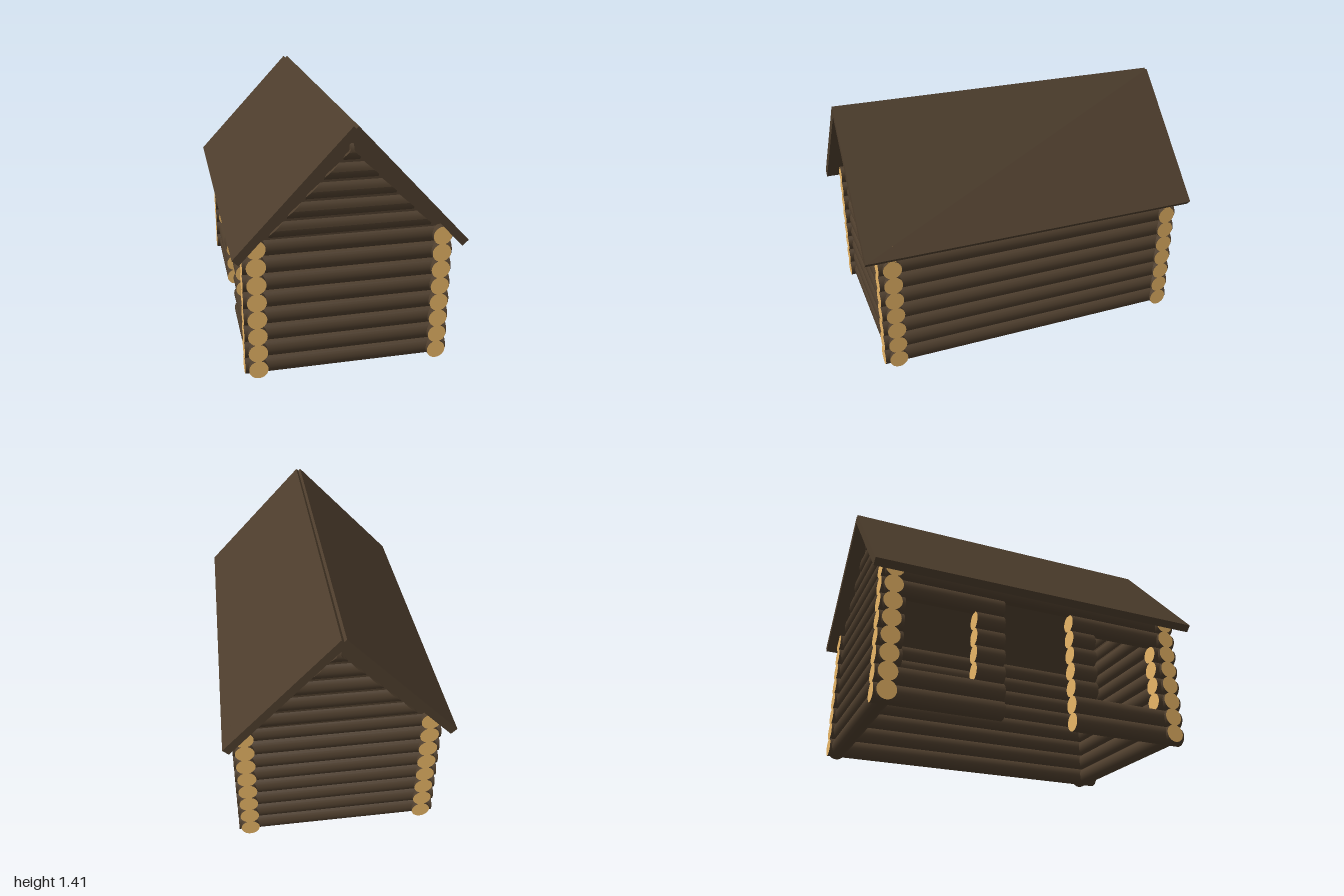
import * as THREE from 'three';

const R = 0.053;          // log radius
const ROWS = 8;           // full log courses
const LEFT = 0.515, RIGHT = -0.5, FRONT = 0.85, BACK = -0.875; // wall centre lines

const bark = new THREE.MeshStandardMaterial({ color: 0x4d3d2c });
const cut = new THREE.MeshStandardMaterial({ color: 0xe8b566 });
const rowY = (i) => 0.06 + i * 0.1005;

// Log running from a to b along the x or z axis, with pale sawn ends
function log(name, axis, a, b, fixed, y) {
  const geo = new THREE.CylinderGeometry(R, R, b - a, 24);
  const mesh = new THREE.Mesh(geo, [bark, cut, cut]);
  const mid = (a + b) / 2;
  if (axis === 'x') {
    geo.rotateZ(-Math.PI / 2);
    mesh.position.set(mid, y, fixed);
  } else {
    geo.rotateX(Math.PI / 2);
    mesh.position.set(fixed, y, mid);
  }
  mesh.name = name;
  return mesh;
}

// Gable log whose upper ends are sawn back along the roof slope
function gableLog(a, b, z, y) {
  const mesh = log('gableLog', 'x', a, b, z, y);
  const p = mesh.geometry.attributes.position;
  for (let i = 0; i < p.count; i++) {
    const back = Math.min(Math.max(0, p.getY(i) + 0.025) * 1.15, (b - a) / 2 - 0.01);
    p.setX(i, p.getX(i) - Math.sign(p.getX(i)) * back);
  }
  mesh.geometry.computeVertexNormals();
  mesh.material = bark;
  return mesh;
}

function prism(name, points, z0, z1) {
  const shape = new THREE.Shape(points.map(([x, y]) => new THREE.Vector2(x, y)));
  const geo = new THREE.ExtrudeGeometry(shape, { depth: z1 - z0, bevelEnabled: false });
  const mesh = new THREE.Mesh(geo, bark);
  mesh.position.z = z0;
  mesh.name = name;
  return mesh;
}

// End wall: full courses, then shortening gable logs over a backing panel
function endWall(name, z) {
  const wall = new THREE.Group();
  wall.name = name;
  for (let i = 0; i < ROWS; i++) wall.add(log('endWallLog', 'x', -0.57, 0.58, z, rowY(i)));
  for (let i = 0; i < 5; i++) {
    wall.add(gableLog(-0.425 + i * 0.0975, 0.455 - i * 0.1, z, 0.86 + i * 0.099));
  }
  wall.add(prism('gablePanel', [[-0.54, 0.79], [0.54, 0.79], [0, 1.37]], z - 0.03, z + 0.03));
  return wall;
}

export function createModel() {
  const cabin = new THREE.Group();
  cabin.name = 'logCabin';
  cabin.add(endWall('frontWall', FRONT), endWall('backWall', BACK));

  // Closed side wall
  const closed = new THREE.Group();
  closed.name = 'leftWall';
  for (let i = 0; i < ROWS; i++) closed.add(log('sideWallLog', 'z', -0.94, 0.925, LEFT, rowY(i)));
  cabin.add(closed);

  // Side wall with a doorway between two windows
  const open = new THREE.Group();
  open.name = 'rightWall';
  const whole = [[-0.94, 0.925]];
  const besideDoor = [[-0.94, -0.22], [0.21, 0.925]];
  const posts = [[-0.94, -0.8], [-0.39, -0.22], [0.21, 0.36], [0.77, 0.925]];
  for (let i = 0; i < ROWS; i++) {
    const spans = i === ROWS - 1 ? whole : i >= 2 && i <= 5 ? posts : besideDoor;
    for (const [a, b] of spans) open.add(log('sideWallLog', 'z', a, b, RIGHT, rowY(i) * 1.015));
  }
  cabin.add(open);

  // Two roof slabs with a small notch along the ridge
  const roof = new THREE.Group();
  roof.name = 'roof';
  const slab = [[-0.63, 0.762], [-0.597, 0.73], [0.02, 1.386], [-0.013, 1.42]];
  roof.add(prism('roofSlabRight', slab, -1, 1));
  roof.add(prism('roofSlabLeft', slab.map(([x, y]) => [-x, y]), -1, 1));
  cabin.add(roof);

  return cabin;
}
